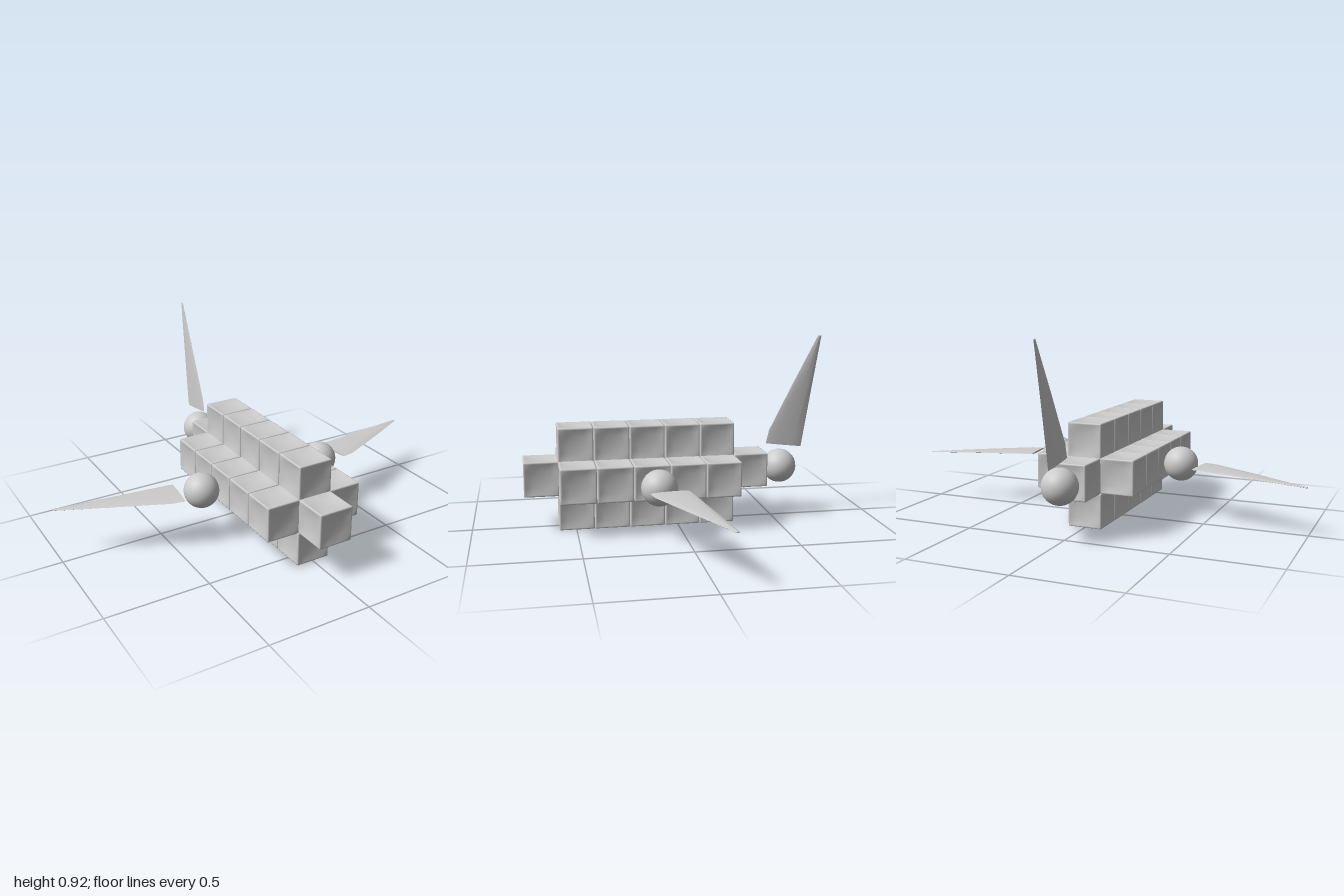
import * as THREE from 'three';
import { mergeVertices, toCreasedNormals } from 'three/addons/utils/BufferGeometryUtils.js';

const material = new THREE.MeshStandardMaterial({ color: 0xcccccc });

// Cube with softly rounded edges and a shallow dish pressed into every face
function dishedCube(size, depth) {
  const stations = [-1, -0.95, -0.9, -0.5, 0, 0.5, 0.9, 0.95, 1];
  const n = stations.length - 1;
  let geo = new THREE.BoxGeometry(n, n, n, n, n, n);
  geo.deleteAttribute('uv');
  geo.deleteAttribute('normal');
  geo = mergeVertices(geo);
  const pos = geo.attributes.position;
  const p = new THREE.Vector3(), core = new THREE.Vector3();
  const round = 0.05;
  for (let i = 0; i < pos.count; i++) {
    p.fromBufferAttribute(pos, i);
    const c = p.toArray().map(v => stations[Math.round(v + n / 2)]);
    const reach = c.map(Math.abs).sort((a, b) => b - a)[1];
    const dish = depth * THREE.MathUtils.smoothstep(0.9 - reach, 0, 0.4);
    p.fromArray(c);
    core.copy(p).clampScalar(-1 + round, 1 - round);
    p.sub(core).setLength(round).add(core);
    // push the face centre inwards along its own axis
    ['x', 'y', 'z'].forEach((axis, k) => {
      if (Math.abs(c[k]) === 1) p[axis] -= Math.sign(c[k]) * dish;
    });
    p.multiplyScalar(size / 2);
    pos.setXYZ(i, p.x, p.y, p.z);
  }
  geo.computeVertexNormals();
  return geo;
}

// Thin tapering blade: span along +x, chord along z, lens-shaped section
function bladeGeometry() {
  // trailing [x, z], leading [x, z], height, half thickness
  const sections = [
    [0, 0, 0.022, 0.185, 0.002, 0.005],
    [0.06, -0.009, 0.087, 0.171, 0.001, 0.005],
    [0.31, -0.047, 0.327, 0.053, -0.006, 0.004],
    [0.564, -0.086, 0.567, -0.07, -0.014, 0.002],
  ];
  const ring = 12, verts = [], index = [];
  for (const [tx, tz, lx, lz, y, h] of sections) {
    for (let j = 0; j < ring; j++) {
      const a = (j / ring) * Math.PI * 2;
      const f = 0.5 + 0.5 * Math.cos(a);
      verts.push(tx + (lx - tx) * f, y + h * Math.sin(a), tz + (lz - tz) * f);
    }
  }
  for (let s = 0; s < sections.length - 1; s++) {
    for (let j = 0; j < ring; j++) {
      const a = s * ring + j, b = s * ring + (j + 1) % ring;
      index.push(a, b, a + ring, b, b + ring, a + ring);
    }
  }
  // end caps
  const last = (sections.length - 1) * ring;
  for (let j = 1; j < ring - 1; j++) {
    index.push(0, j + 1, j, last, last + j, last + j + 1);
  }
  // wind every face outwards
  const geo = new THREE.BufferGeometry();
  geo.setAttribute('position', new THREE.Float32BufferAttribute(verts, 3));
  geo.setIndex(index);
  const v = k => new THREE.Vector3().fromArray(verts, index[k] * 3);
  let volume = 0;
  for (let k = 0; k < index.length; k += 3) volume += v(k).dot(v(k + 1).cross(v(k + 2)));
  if (volume < 0) geo.setIndex(index.reverse());
  return toCreasedNormals(geo, 0.7);
}

export function createModel() {
  const model = new THREE.Group();
  const add = (parent, name, geo, x, y, z) => {
    const mesh = new THREE.Mesh(geo, material);
    mesh.name = name;
    mesh.position.set(x, y, z);
    parent.add(mesh);
    return mesh;
  };

  // Body: rows of cubes in a plus-shaped section, with a nose and a tail cube
  const cube = dishedCube(0.17, 0.1);
  const body = new THREE.Group();
  body.name = 'body';
  model.add(body);
  const midY = 0.26, pitch = 0.1735, firstZ = 0.497;
  for (let row = 0; row < 5; row++) {
    const z = firstZ - row * pitch;
    add(body, 'coreCube', cube, 0, midY, z);
    add(body, 'topCube', cube, 0, 0.42, z);
    add(body, 'bottomCube', cube, 0, 0.087, z);
    for (const side of [-1, 1]) add(body, 'sideCube', cube, side * 0.162, midY, z);
  }
  add(body, 'noseCube', cube, 0, midY, firstZ + 0.166);
  add(body, 'tailCube', cube, 0, midY, firstZ - 5 * pitch);

  // Ball joints and blades: two wings and an upright tail fin
  const ball = new THREE.SphereGeometry(0.085, 32, 20);
  const blade = bladeGeometry();
  add(model, 'leftWingJoint', ball, 0.338, 0.263, 0.133);
  add(model, 'rightWingJoint', ball, -0.34, 0.26, 0.133);
  add(model, 'tailJoint', ball, 0, midY, -0.54);

  add(model, 'leftWing', blade, 0.433, 0.267, 0.01);
  // the mirrored wing is reflected in x
  const rightWing = add(model, 'rightWing', blade, -0.433, 0.258, 0.01);
  rightWing.scale.x = -1;
  const fin = add(model, 'tailFin', blade, 0, 0.355, -0.655);
  fin.rotation.z = Math.PI / 2;
  return model;
}
